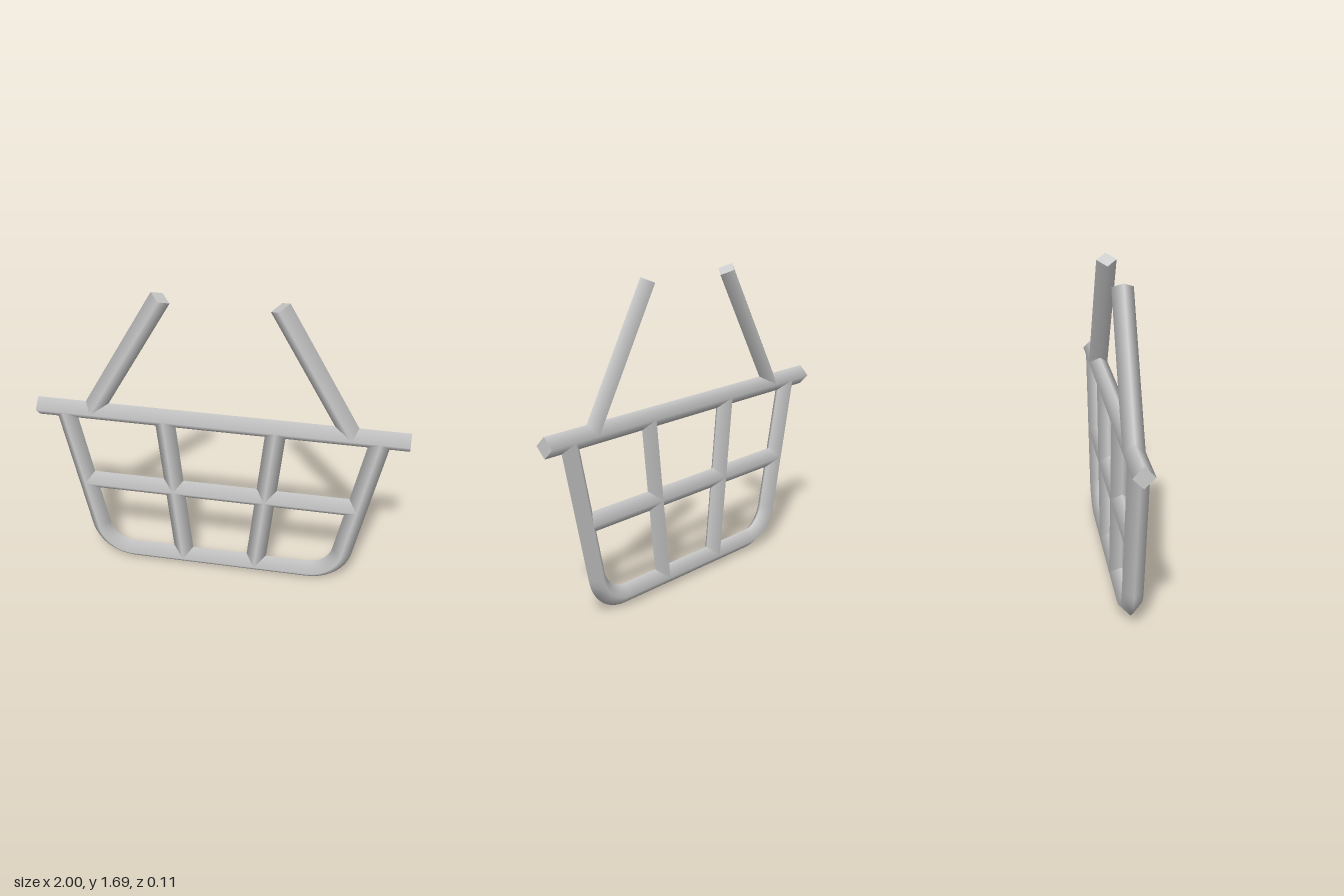
import * as THREE from 'three';

const R = 0.055; // half width of the diamond-section bars
const BEND = 0.195; // corner radius of the frame
const TILT = THREE.MathUtils.degToRad(12); // lean of the basket sides

export function createModel() {
  const model = new THREE.Group();
  const grey = new THREE.MeshStandardMaterial({ color: 0xcccccc });
  grey.name = 'lightGrey';

  // Straight four-sided bar between two points, one edge facing +z
  const bar = (name, x1, y1, x2, y2) => {
    const length = Math.hypot(x2 - x1, y2 - y1);
    const mesh = new THREE.Mesh(new THREE.CylinderGeometry(R, R, length, 4), grey);
    mesh.position.set((x1 + x2) / 2, (y1 + y2) / 2, 0);
    mesh.rotation.z = Math.atan2(y2 - y1, x2 - x1) - Math.PI / 2;
    mesh.name = name;
    model.add(mesh);
  };

  // Horizontal bars
  bar('rim', -1, 0.96, 1, 0.96);
  bar('middleRail', -0.75, 0.51, 0.75, 0.51);
  bar('bottomRail', -0.5, R, 0.5, R);

  // Mirrored parts
  for (const s of [-1, 1]) {
    const side = s > 0 ? 'left' : 'right';
    const cy = R + BEND;

    // Rounded bottom corner
    const arc = Math.PI / 2 - TILT;
    const corner = new THREE.Mesh(new THREE.TorusGeometry(BEND, R, 4, 14, arc), grey);
    corner.position.set(s * 0.5, cy, 0);
    corner.rotation.z = s > 0 ? -Math.PI / 2 : -Math.PI / 2 - arc;
    corner.name = side + 'Corner';
    model.add(corner);

    // Leaning side, slat and handle half
    const x = 0.5 + BEND * Math.cos(TILT);
    const y = cy - BEND * Math.sin(TILT);
    bar(side + 'Side', s * x, y, s * (x + (0.96 - y) * Math.tan(TILT)), 0.96);
    bar(side + 'Slat', s * 0.205, R, s * 0.302, 0.96);
    bar(side + 'Handle', s * 0.7, 0.96, s * 0.303, 1.658);
  }
  return model;
}
